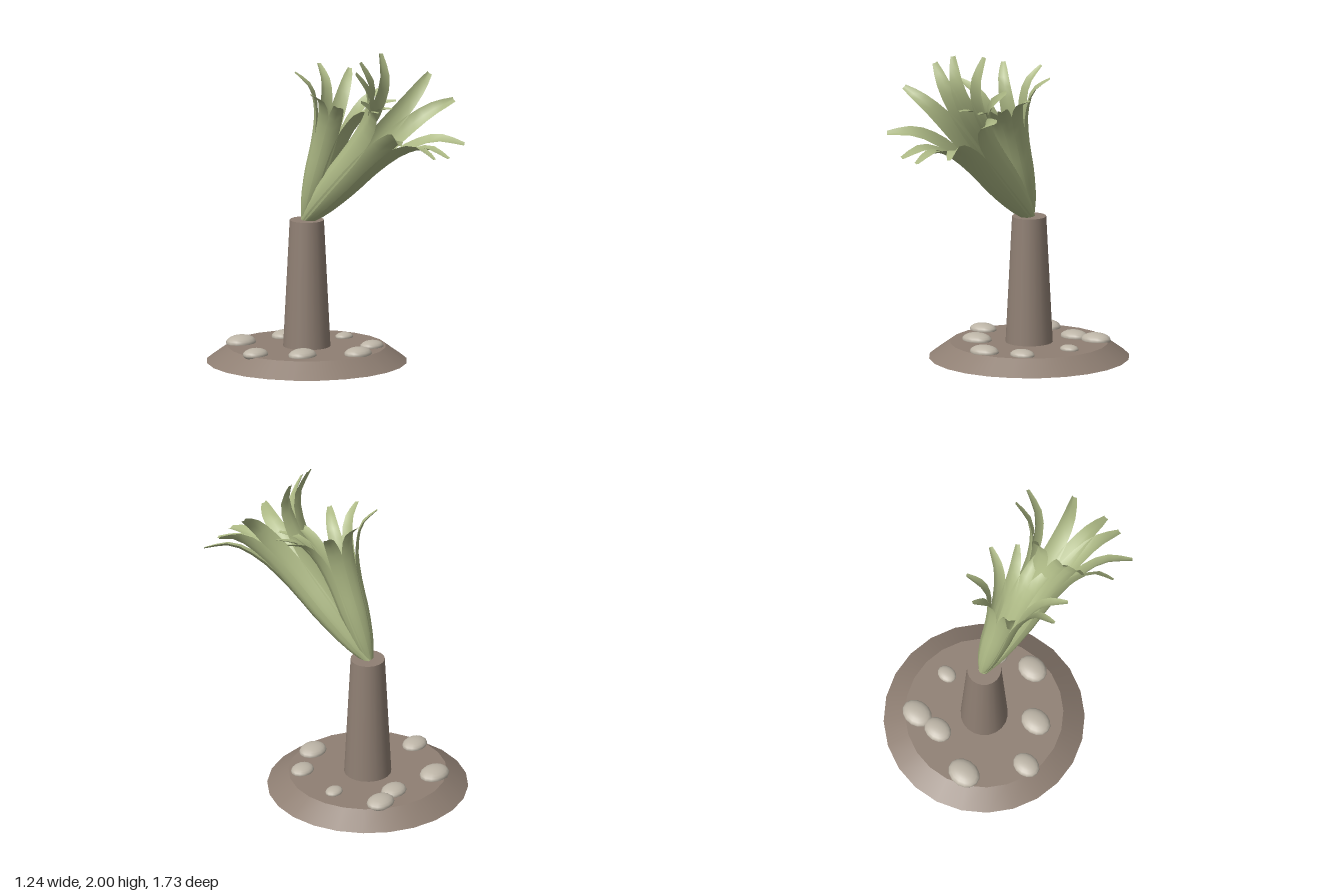
import * as THREE from 'three';

const soil = new THREE.MeshStandardMaterial({ color: 0x8f7f73 });
soil.name = 'brown bark and soil';
const stone = new THREE.MeshStandardMaterial({ color: 0xbdb5a7 });
stone.name = 'pale stone';
const leaf = new THREE.MeshStandardMaterial({ color: 0xadb985, side: THREE.DoubleSide });
leaf.name = 'soft green leaf';

const CENTRE_Z = -0.25;

function addMesh(parent, name, geometry, material, x, y, z) {
  const mesh = new THREE.Mesh(geometry, material);
  mesh.name = name;
  mesh.position.set(x, y, z);
  parent.add(mesh);
  return mesh;
}

// One blade: hugs the bundle axis (y), then flares outward (+x) at its end
function bladeGeometry() {
  const spine = new THREE.CatmullRomCurve3([
    [0.03, 0], [0.075, 0.15], [0.115, 0.4], [0.135, 0.65],
    [0.18, 0.9], [0.27, 1.08], [0.415, 1.165],
  ].map(([r, a]) => new THREE.Vector3(r, a, 0)));
  const rows = 14;
  const positions = [], index = [];
  for (let i = 0; i <= rows; i++) {
    const t = i / rows;
    const p = spine.getPoint(t);
    const d = spine.getTangent(t);
    const half = 0.017 + 0.046 * Math.pow(Math.sin(Math.PI * Math.pow(t, 1.05)), 0.8);
    const fold = half * 0.4;
    // edges fold up toward the inner side of the blade
    for (const s of [-1, 0, 1]) {
      const lift = Math.abs(s) * fold;
      positions.push(p.x - d.y * lift, p.y + d.x * lift, s * half);
    }
    if (i === rows) break;
    for (let j = 0; j < 2; j++) {
      const a = i * 3 + j;
      index.push(a, a + 1, a + 3, a + 1, a + 4, a + 3);
    }
  }
  const g = new THREE.BufferGeometry();
  g.setAttribute('position', new THREE.Float32BufferAttribute(positions, 3));
  g.setIndex(index);
  g.computeVertexNormals();
  return g;
}

// A bundle of blades arranged around a tilted axis
function rosette(name, geometry, tilt, scale, angles) {
  const group = new THREE.Group();
  group.name = name;
  for (const deg of angles) {
    const blade = addMesh(group, 'blade', geometry, leaf, 0, 0, 0);
    blade.rotation.y = THREE.MathUtils.degToRad(deg);
  }
  group.rotation.x = THREE.MathUtils.degToRad(tilt);
  group.scale.setScalar(scale);
  return group;
}

export function createModel() {
  const model = new THREE.Group();
  model.name = 'pottedPalm';

  // Low soil mound and tapered trunk
  addMesh(model, 'mound', new THREE.CylinderGeometry(0.49, 0.622, 0.095, 24), soil, 0, 0.0475, CENTRE_Z);
  addMesh(model, 'trunk', new THREE.CylinderGeometry(0.106, 0.147, 0.81, 20), soil, 0, 0.485, CENTRE_Z);

  // Flattened stones: x, z, half width
  const stones = new THREE.Group();
  stones.name = 'stones';
  model.add(stones);
  const ball = new THREE.SphereGeometry(1, 14, 10);
  for (const [x, z, r] of [
    [-0.18, -0.625, 0.107], [0.134, -0.527, 0.092], [0.3, -0.536, 0.1], [-0.425, -0.323, 0.09],
    [0.342, -0.222, 0.063], [-0.273, -0.074, 0.1], [0.22, 0.088, 0.083], [-0.02, 0.165, 0.098],
  ]) {
    addMesh(stones, 'stone', ball, stone, x, 0.1, z).scale.set(r, r * 0.42, r * 0.8);
  }

  // Two leaf bundles: a large one leaning forward, a smaller upright one
  const blade = bladeGeometry();
  const front = rosette('leaningLeaves', blade, 45, 1,
    [-90, -108, -57, -145, -4, 165, 27.5, 131, 113.5, 80.6]);
  front.position.set(0, 0.88, -0.265);
  const back = rosette('uprightLeaves', blade, 20, 0.79,
    [122, 71, 34, -17, -49, -75, -101, 211, 177]);
  back.position.set(0, 0.89, -0.265);
  model.add(front, back);
  return model;
}
